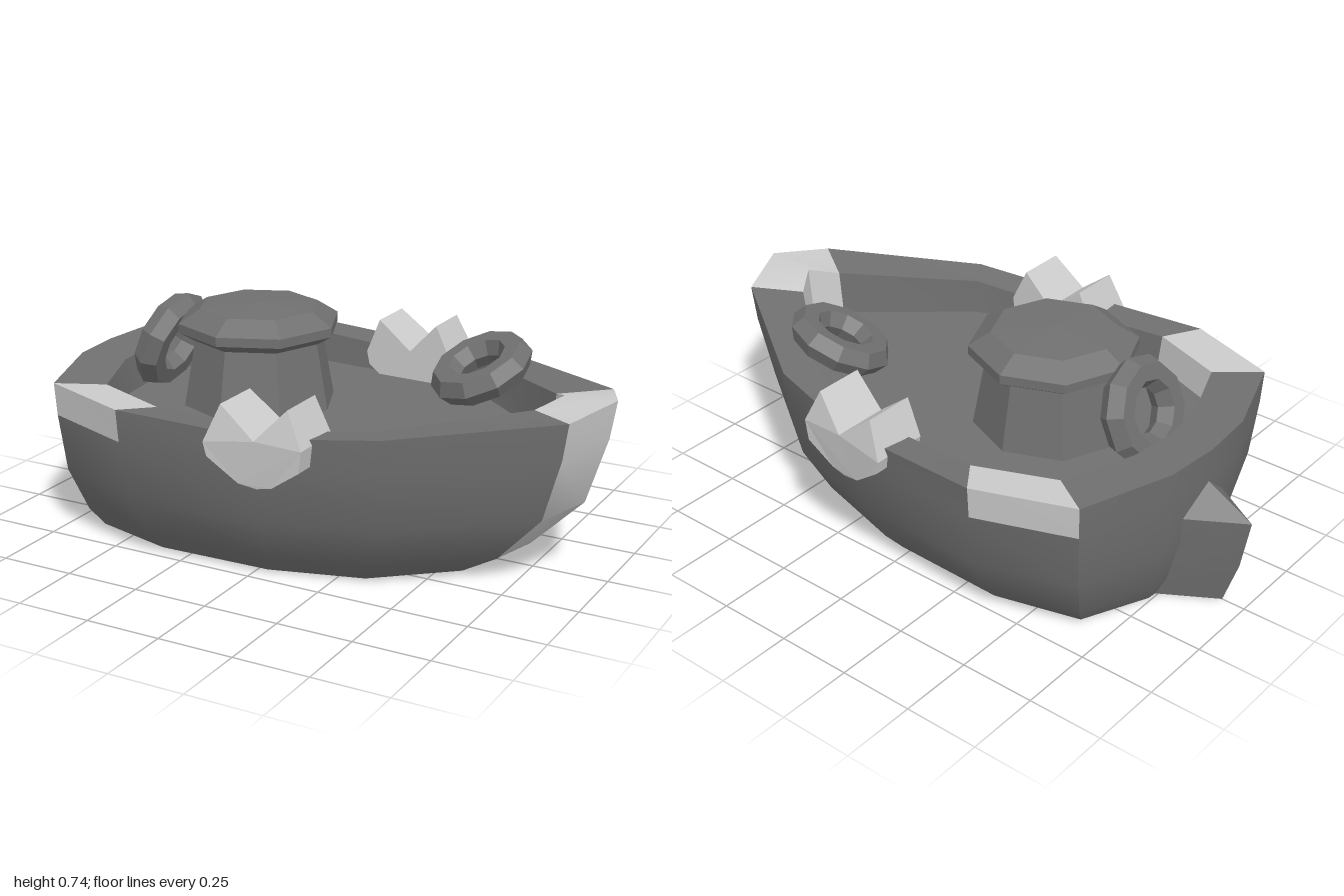
import * as THREE from 'three';
import { toCreasedNormals } from 'three/addons/utils/BufferGeometryUtils.js';

const dark = new THREE.MeshStandardMaterial({ color: 0x707070, side: THREE.DoubleSide });
const darkFlat = new THREE.MeshStandardMaterial({ color: 0x707070, flatShading: true });
const light = new THREE.MeshStandardMaterial({ color: 0xcccccc, side: THREE.DoubleSide });
const lightFlat = new THREE.MeshStandardMaterial({ color: 0xcccccc, flatShading: true });

function addMesh(group, name, geometry, material) {
  const mesh = new THREE.Mesh(geometry, material);
  mesh.name = name;
  group.add(mesh);
  return mesh;
}

function creased(points, angle) {
  const g = new THREE.BufferGeometry();
  g.setAttribute('position', new THREE.Float32BufferAttribute(points.flat(), 3));
  return toCreasedNormals(g, angle);
}

// Half outlines from bow to stern: rim [x, y, z], keel edge [x, z], inner rim edge [x, z]
const RIM = [[1, 0.59, 0], [0.92, 0.56, 0.19], [0.46, 0.525, 0.495], [0.1, 0.495, 0.58],
  [-0.4, 0.515, 0.61], [-0.72, 0.52, 0.495], [-0.83, 0.525, 0.19], [-0.845, 0.525, 0]];
const KEEL = [[0.6, 0], [0.57, 0.14], [0.33, 0.34], [0.03, 0.425],
  [-0.36, 0.435], [-0.64, 0.36], [-0.74, 0.14], [-0.75, 0]];
const INNER = [[0.83, 0], [0.77, 0.09], [0.4, 0.4], [0.08, 0.475],
  [-0.32, 0.5], [-0.58, 0.4], [-0.675, 0.16], [-0.69, 0]];
const FLARE = [[0, 0], [0.13, 0.35], [0.42, 0.78], [0.79, 0.95], [1, 1]]; // height, outward share
const DECK = 0.4;

function buildHull(group) {
  const half = RIM.length;
  const close = (pts) => [...pts, ...pts.slice(1, -1).reverse().map(([x, y, z]) => [x, y, -z])];
  const lerp = THREE.MathUtils.lerp;
  const rings = FLARE.map(([h, s]) => close(RIM.map(([x, y, z], i) =>
    [lerp(KEEL[i][0], x, s), y * h, lerp(KEEL[i][1], z, s)])));
  rings.push(close(INNER.map(([x, z], i) => [x, RIM[i][1] - 0.01, z])));
  rings.push(close(INNER.map(([x, z]) => [x * 0.98, DECK, z * 0.98])));

  const hull = [], bow = [], corners = [];
  const n = rings[0].length;
  for (let r = 0; r < rings.length - 1; r++) {
    for (let i = 0; i < n; i++) {
      const j = (i + 1) % n;
      const column = i < half - 1 ? i : n - 1 - i;
      const target = column === 0 ? bow : column === 4 && r >= 3 ? corners : hull;
      const [a, b, c, d] = [rings[r][i], rings[r + 1][i], rings[r + 1][j], rings[r][j]];
      target.push(a, b, c, a, c, d);
    }
  }
  addMesh(group, 'hull', creased(hull, 0.6), dark);
  addMesh(group, 'bowTrim', creased(bow, 0.6), light);
  addMesh(group, 'sternCornerTrim', creased(corners, 0.3), light);

  // Flat deck as a fan inside the rim
  const edge = rings[rings.length - 1];
  const deck = edge.flatMap((p, i) => [[0, DECK, 0], edge[(i + 1) % n], p]);
  addMesh(group, 'deck', creased(deck, 0.3), dark);
}

// Wedge-shaped rudder: triangular sections stacked upward to a peak
function buildRudder(group) {
  const sections = [[0, -0.92, -0.74], [0.15, -0.97, -0.79], [0.32, -1, -0.82]].map(([y, tip, root]) =>
    [[tip, y, 0], [root, y, 0.11], [root, y, -0.11]]);
  const peak = [-0.82, 0.42, 0];
  const t = [];
  for (let i = 0; i < 3; i++) {
    const j = (i + 1) % 3;
    for (let k = 0; k < 2; k++) {
      const [a, b, c, d] = [sections[k][i], sections[k][j], sections[k + 1][j], sections[k + 1][i]];
      t.push(a, b, c, a, c, d);
    }
    t.push(sections[2][i], sections[2][j], peak);
  }
  t.push(sections[0][0], sections[0][2], sections[0][1]);
  addMesh(group, 'rudder', creased(t, 0.5), dark);
}

// Eight-sided cabin with an overhanging cap
function buildCabin(group) {
  const cabin = new THREE.Group();
  cabin.name = 'cabin';
  cabin.position.x = -0.245;
  const lathe = (pts) => new THREE.LatheGeometry(pts.map(([r, y]) => new THREE.Vector2(r, y)), 8);
  addMesh(cabin, 'cabinWall', lathe([[0, 0.35], [0.265, 0.35], [0.215, 0.63]]), darkFlat);
  addMesh(cabin, 'cabinCap', lathe([[0, 0.62], [0.22, 0.62], [0.27, 0.65], [0.27, 0.68],
    [0.2, 0.725], [0, 0.735]]), darkFlat);
  group.add(cabin);
}

// Low-poly ring facing along a given axis
function buildRing(group, name, position, axis) {
  const ring = addMesh(group, name, new THREE.TorusGeometry(0.125, 0.052, 6, 10), darkFlat);
  ring.position.set(...position);
  ring.quaternion.setFromUnitVectors(new THREE.Vector3(0, 0, 1), new THREE.Vector3(...axis).normalize());
}

// Notched block on the rim; side is +1 or -1
function buildCleat(group, name, side) {
  const outline = [[-0.07, 0.475], [-0.06, 0.43], [0.04, 0.355], [0.1, 0.345], [0.15, 0.355],
    [0.245, 0.42], [0.255, 0.49], [0.2, 0.605], [0.1, 0.5], [-0.02, 0.595]];
  const shape = new THREE.Shape(outline.map(([x, y]) => new THREE.Vector2(x, y)));
  const g = new THREE.ExtrudeGeometry(shape, { depth: 1, bevelEnabled: false });
  const p = g.attributes.position;
  for (let i = 0; i < p.count; i++) {
    const x = p.getX(i), y = p.getY(i);
    const outside = (p.getZ(i) > 0.5) === (side > 0);
    const z = outside ? 0.635 - 0.08 * Math.max(0, x - 0.02) - 0.2 * Math.abs(y - 0.46)
      : 0.435 - 0.05 * x;
    p.setZ(i, side * z);
  }
  g.computeVertexNormals();
  addMesh(group, name, g, lightFlat);
}

export function createModel() {
  const boat = new THREE.Group();
  boat.name = 'toyBoat';
  buildHull(boat);
  buildRudder(boat);
  buildCabin(boat);
  buildRing(boat, 'foredeckRing', [0.45, 0.545, -0.24], [-0.28, 0.9, 0.33]);
  buildRing(boat, 'cabinRing', [-0.59, 0.56, 0], [-0.93, 0.35, 0]);
  buildCleat(boat, 'leftCleat', 1);
  buildCleat(boat, 'rightCleat', -1);
  return boat;
}
